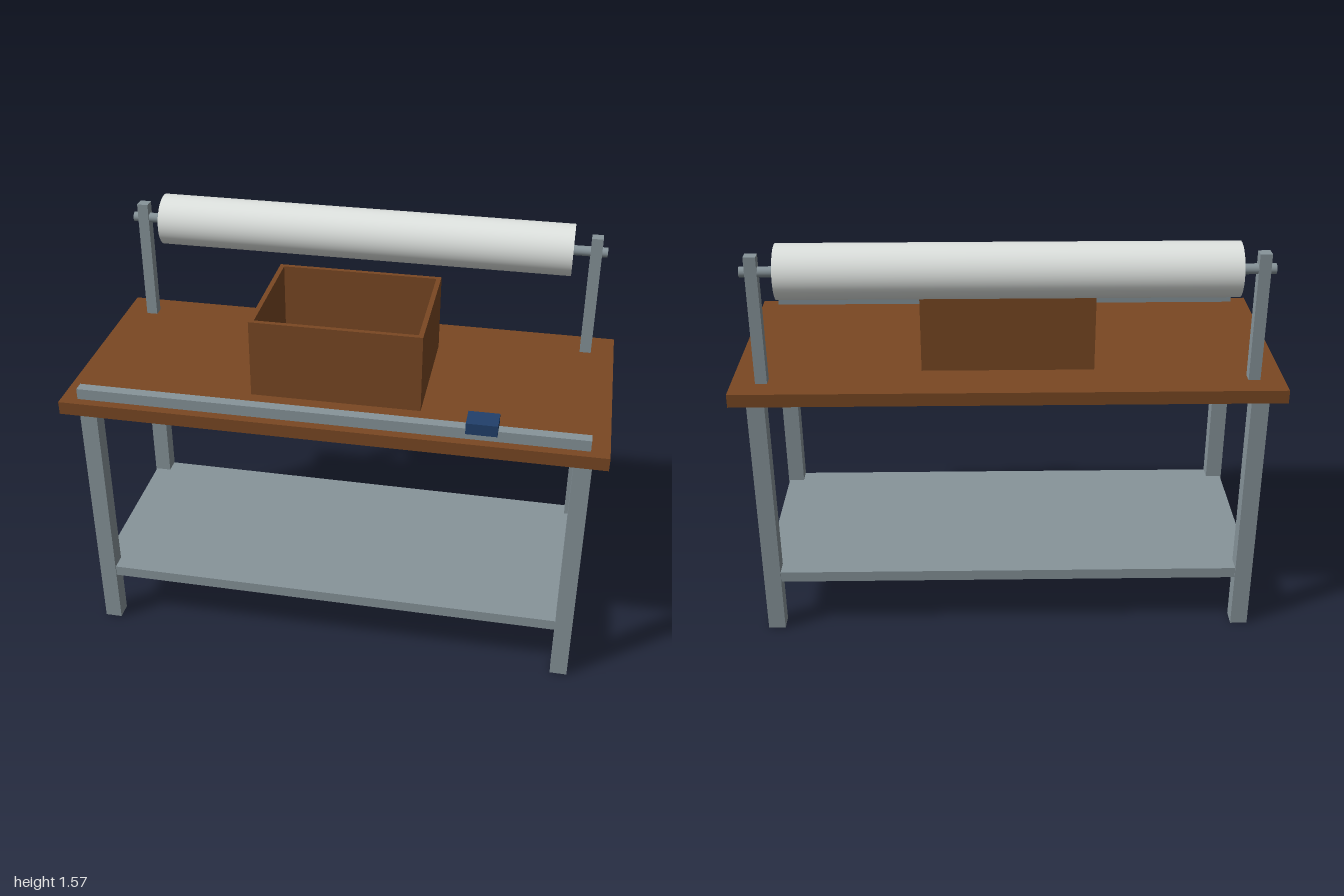
import * as THREE from 'three';

export function createModel() {
  const mat = (name, color) => {
    const m = new THREE.MeshStandardMaterial({ color });
    m.name = name;
    return m;
  };
  const wood = mat('brown wood', 0x7a4823);
  const steel = mat('grey steel', 0x87949a);
  const film = mat('pale film', 0xdfe3e0);
  const blue = mat('dark blue', 0x21406b);

  const model = new THREE.Group();
  model.name = 'packingTable';

  const add = (name, geometry, material, x, y, z, parent = model) => {
    const mesh = new THREE.Mesh(geometry, material);
    mesh.name = name;
    mesh.position.set(x, y, z);
    parent.add(mesh);
    return mesh;
  };
  // Box given by its centre in x and z, its bottom and its size
  const box = (name, material, x, bottom, z, w, h, d, parent) =>
    add(name, new THREE.BoxGeometry(w, h, d), material, x, bottom + h / 2, z, parent);
  // Cylinder lying along x
  const bar = (name, material, radius, length, sides, y, z) =>
    add(name, new THREE.CylinderGeometry(radius, radius, length, sides).rotateZ(Math.PI / 2), material, 0, y, z);

  // Table
  box('tableTop', wood, 0, 1, 0, 2, 0.05, 0.885);
  for (const x of [-1, 1]) {
    for (const z of [-1, 1]) box('leg', steel, x * 0.912, 0, z * 0.358, 0.065, 1, 0.065);
  }
  box('lowerShelf', steel, 0, 0.215, 0, 1.88, 0.042, 0.772);

  // Roll holder at the back
  const rollY = 1.47, rollZ = -0.332;
  for (const x of [-1, 1]) box('rollPost', steel, x * 0.89, 1.05, rollZ, 0.043, 0.48, 0.043);
  bar('rollAxle', steel, 0.019, 1.865, 20, rollY, rollZ);
  bar('filmRoll', film, 0.0985, 1.61, 40, rollY, rollZ);

  // Cutting rail with its slider
  box('cutterRail', steel, 0, 1.058, 0.4, 1.865, 0.042, 0.04);
  box('cutterSlider', blue, 0.555, 1.092, 0.4, 0.112, 0.043, 0.087);

  // Open crate: floor and four walls
  const crate = new THREE.Group();
  crate.name = 'crate';
  model.add(crate);
  const w = 0.635, h = 0.3, d = 0.505, t = 0.018;
  box('crateFloor', wood, 0, 1.05, 0, w - 2 * t, 0.015, d - 2 * t, crate);
  for (const s of [-1, 1]) {
    box('crateEndWall', wood, 0, 1.05, s * (d - t) / 2, w, h, t, crate);
    box('crateSideWall', wood, s * (w - t) / 2, 1.05, 0, t, h, d - 2 * t, crate);
  }

  return model;
}
